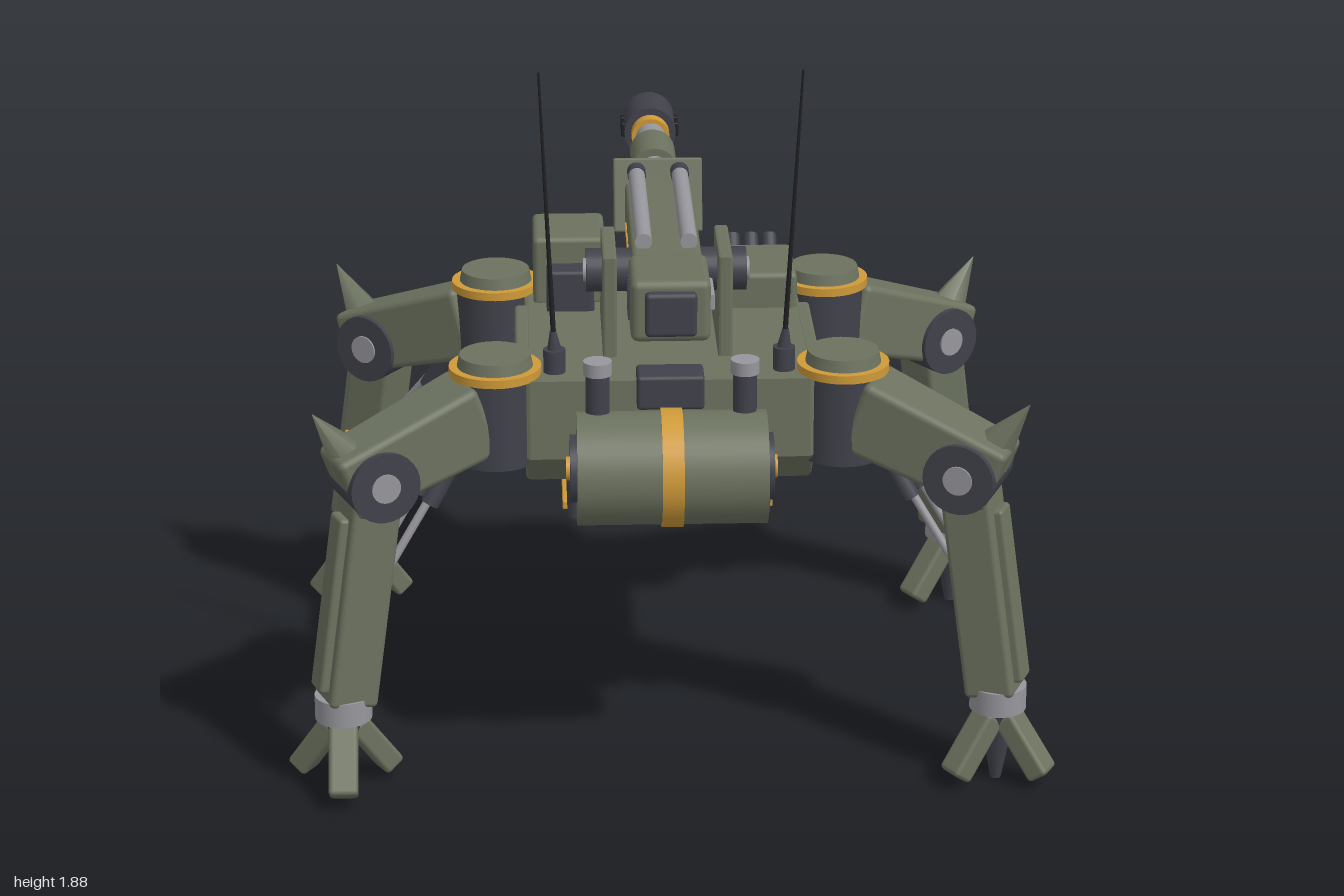
import * as THREE from 'three';
import { RoundedBoxGeometry } from 'three/addons/geometries/RoundedBoxGeometry.js';

const paint = (name, color) => {
  const m = new THREE.MeshStandardMaterial({ color });
  m.name = name;
  return m;
};
const V = (x, y, z) => new THREE.Vector3(x, y, z);

export function createModel() {
  const green = paint('olive green', 0x6c725f);
  const dark = paint('dark metal', 0x41414b);
  const steel = paint('light steel', 0x96969c);
  const orange = paint('orange', 0xcf9a38);
  const black = paint('black', 0x222226);
  const model = new THREE.Group();
  model.name = 'walker';

  const add = (parent, name, geo, mat, x = 0, y = 0, z = 0) => {
    const m = new THREE.Mesh(geo, mat);
    m.name = name;
    m.position.set(x, y, z);
    parent.add(m);
    return m;
  };
  const group = (name) => {
    const g = new THREE.Group();
    g.name = name;
    model.add(g);
    return g;
  };
  // box given by its limits
  const box = (p, name, mat, [x0, x1], [y0, y1], [z0, z1], r = 0.01) => {
    const w = x1 - x0, h = y1 - y0, d = z1 - z0;
    const geo = r ? new RoundedBoxGeometry(w, h, d, 2, Math.min(r, w * 0.45, h * 0.45, d * 0.45)) : new THREE.BoxGeometry(w, h, d);
    return add(p, name, geo, mat, (x0 + x1) / 2, (y0 + y1) / 2, (z0 + z1) / 2);
  };
  // cylinder between two points
  const rod = (p, name, mat, a, b, r0, r1 = r0, sides = 24) => {
    const dir = b.clone().sub(a);
    const m = add(p, name, new THREE.CylinderGeometry(r1, r0, dir.length(), sides), mat);
    m.position.copy(a).add(b).multiplyScalar(0.5);
    m.quaternion.setFromUnitVectors(V(0, 1, 0), dir.normalize());
    return m;
  };
  // rounded beam between two points; side is the horizontal width axis, taper scales the far end
  const beam = (p, name, mat, a, b, thick, width, side, taper = 1, r = 0.014) => {
    const y = b.clone().sub(a), len = y.length();
    y.normalize();
    const geo = new RoundedBoxGeometry(thick, len, width, 2, r), pos = geo.attributes.position;
    for (let i = 0; i < pos.count; i++) {
      const s = 1 + (taper - 1) * (pos.getY(i) / len + 0.5);
      pos.setX(i, pos.getX(i) * s);
      pos.setZ(i, pos.getZ(i) * s);
    }
    const m = add(p, name, geo, mat);
    m.position.copy(a).add(b).multiplyScalar(0.5);
    const x = y.clone().cross(side).normalize();
    m.quaternion.setFromRotationMatrix(new THREE.Matrix4().makeBasis(x, y, x.clone().cross(y)));
    return m;
  };
  // side profile of [z, y] points, extruded across x
  const profile = (p, name, mat, pts, x0, x1, bevel = 0.012) => {
    const s = new THREE.Shape(pts.map(([z, y]) => new THREE.Vector2(-z, y)));
    const geo = new THREE.ExtrudeGeometry(s, { depth: x1 - x0 - 2 * bevel, bevelSize: bevel, bevelThickness: bevel, bevelOffset: -bevel, bevelSegments: 2 });
    geo.rotateY(Math.PI / 2);
    return add(p, name, geo, mat, x0 + bevel, 0, 0);
  };

  // Hull
  const hull = group('hull');
  profile(hull, 'hullBody', green, [[0.69, 1.07], [-0.16, 1.07], [-0.2, 0.9], [-0.12, 0.77], [0.6, 0.77], [0.69, 0.86]], -0.365, 0.365);
  profile(hull, 'nosePlate', green, [[-0.08, 1.085], [-0.17, 1.085], [-0.32, 1.02], [-0.27, 0.935], [-0.08, 0.935]], -0.325, 0.325);
  profile(hull, 'bumper', dark, [[-0.1, 0.94], [-0.27, 0.94], [-0.305, 0.9], [-0.27, 0.82], [-0.1, 0.8]], -0.29, 0.29);
  const slit = box(hull, 'noseSlit', dark, [-0.1, 0.1], [1.044, 1.054], [-0.262, -0.25], 0);
  slit.rotation.x = -0.41;
  box(hull, 'belly', dark, [-0.26, 0.26], [0.65, 0.78], [-0.06, 0.626], 0.025);
  box(hull, 'deckGrille', dark, [-0.085, 0.085], [1.0, 1.09], [0.62, 0.72]);
  for (const s of [-1, 1]) {
    const span = (a, b) => (s > 0 ? [a, b] : [-b, -a]);
    box(hull, 'headlight', steel, span(0.15, 0.2), [0.885, 0.925], [-0.335, -0.28]);
    box(hull, 'bellyStripe', orange, span(0.25, 0.272), [0.652, 0.676], [0.05, 0.52], 0.004);
    box(hull, 'sidePanel', green, span(0.35, 0.39), [0.845, 1.07], [0.11, 0.48]);
    for (let i = 0; i < 4; i++) {
      const z = 0.165 + i * 0.087;
      box(hull, 'sideVent', dark, span(0.386, 0.394), [0.88, 1.02], [z - 0.02, z + 0.02], 0);
    }
    rod(hull, 'exhaustPipe', dark, V(s * 0.184, 0.95, 0.745), V(s * 0.184, 1.12, 0.745), 0.03);
    rod(hull, 'exhaustCap', steel, V(s * 0.184, 1.11, 0.745), V(s * 0.184, 1.145, 0.745), 0.036);
    rod(hull, 'antennaBase', dark, V(s * 0.29, 1.06, 0.615), V(s * 0.29, 1.13, 0.615), 0.028);
    rod(hull, 'antennaSpring', dark, V(s * 0.29, 1.13, 0.615), V(s * 0.293, 1.18, 0.62), 0.018, 0.008, 12);
    rod(hull, 'antenna', black, V(s * 0.29, 1.13, 0.615), V(s * 0.323, 1.88, 0.705), 0.007, 0.003, 8);
  }

  // Fuel drum
  const drum = group('fuelDrum');
  const across = (name, mat, x0, x1, r) => rod(drum, name, mat, V(x0, 0.868, 0.772), V(x1, 0.868, 0.772), r, r, 40);
  across('drumBody', green, -0.238, 0.238, 0.143);
  across('drumBand', orange, -0.027, 0.027, 0.15);
  across('drumCaps', dark, -0.255, 0.255, 0.085);
  across('drumPlugs', orange, -0.265, 0.265, 0.03);

  // Deck equipment
  const deck = group('deckEquipment');
  box(deck, 'stowageBox', green, [0.165, 0.355], [1.05, 1.165], [-0.09, 0.16], 0.015);
  for (let i = 0; i < 3; i++) {
    const x = 0.2 + i * 0.05;
    rod(deck, 'smokeLauncher', dark, V(x, 1.09, -0.08), V(x, 1.165, -0.16), 0.02, 0.02, 16);
  }
  box(deck, 'sightBox', green, [-0.34, -0.15], [1.06, 1.25], [-0.12, 0.1], 0.015);
  box(deck, 'sightBattery', dark, [-0.305, -0.18], [1.06, 1.18], [0.09, 0.17]);
  rod(deck, 'sightRim', dark, V(-0.25, 1.165, -0.11), V(-0.25, 1.165, -0.132), 0.058);
  rod(deck, 'sightLens', orange, V(-0.25, 1.165, -0.11), V(-0.25, 1.165, -0.138), 0.043);

  // Gun mount
  const gun = group('gun');
  const AY = 1.262;
  for (const s of [-1, 1]) {
    profile(gun, 'yoke', green, [[0.52, 1.06], [0.52, 1.335], [0.26, 1.335], [0.26, 1.21], [0.15, 1.06]], s * 0.147 - 0.018, s * 0.147 + 0.018, 0.006);
    rod(gun, 'trunnion', dark, V(s * 0.08, AY, 0.39), V(s * 0.205, AY, 0.39), 0.056);
    rod(gun, 'trunnionCap', steel, V(s * 0.2, AY, 0.39), V(s * 0.213, AY, 0.39), 0.03);
    for (const z of [0.21, 0.12, 0.03])
      box(gun, 'housingMark', orange, s > 0 ? [0.088, 0.094] : [-0.094, -0.088], [1.238, 1.258], [z - 0.032, z + 0.032], 0);
    rod(gun, 'recoilRod', steel, V(s * 0.058, 1.342, 0.41), V(s * 0.058, 1.342, -0.15), 0.022);
    rod(gun, 'recoilRodEnd', dark, V(s * 0.058, 1.342, -0.145), V(s * 0.058, 1.342, -0.185), 0.025);
  }
  box(gun, 'housing', green, [-0.09, 0.09], [1.18, 1.325], [-0.15, 0.53], 0.015);
  box(gun, 'breech', green, [-0.1, 0.1], [1.178, 1.34], [0.49, 0.715], 0.02);
  box(gun, 'breechEnd', dark, [-0.065, 0.065], [1.2, 1.315], [0.7, 0.738], 0.012);
  box(gun, 'breechWindow', steel, [0.097, 0.112], [1.245, 1.29], [0.54, 0.665], 0.004);
  for (let i = 0; i < 5; i++)
    box(gun, 'breechSlit', dark, [-0.105, -0.098], [1.22, 1.3], [0.545 + i * 0.025, 0.557 + i * 0.025], 0);
  const shield = box(gun, 'gunShield', green, [-0.12, 0.12], [1.172, 1.372], [-0.202, -0.182], 0.006);
  shield.rotation.x = -0.3;

  // Barrel, as [name, material, start z, end z, radius]
  for (const [name, mat, z0, z1, r] of [
    ['barrel', steel, -0.12, -0.8, 0.042],
    ['barrelRing', dark, -0.335, -0.365, 0.06],
    ['barrelSleeve', green, -0.44, -0.62, 0.063],
    ['barrelCollar', orange, -0.748, -0.792, 0.054],
    ['muzzleBrake', dark, -0.79, -0.955, 0.073],
    ['muzzleBore', black, -0.95, -0.959, 0.045],
  ]) rod(gun, name, mat, V(0, AY, z0), V(0, AY, z1), r, r, 32);
  for (const z of [-0.835, -0.895])
    box(gun, 'muzzleSlots', black, [-0.082, 0.082], [AY - 0.02, AY + 0.02], [z - 0.014, z + 0.014], 0.004);

  // Legs
  const buildLeg = (s, hipZ, kneeZ, ankleZ, name) => {
    const leg = group(name);
    const hip = V(s * 0.44, 1, hipZ), knee = V(s * 0.75, 0.845, kneeZ), ankle = V(s * 0.838, 0.2, ankleZ);
    const d = V(knee.x - hip.x, 0, knee.z - hip.z).normalize();
    const q = V(-d.z, 0, d.x);
    if (q.z * (hipZ - 0.29) > 0) q.negate(); // q faces the middle of the body
    const at = (base, along, up, side = 0) => base.clone().addScaledVector(d, along).addScaledVector(q, side).add(V(0, up, 0));

    rod(leg, 'hip', dark, at(hip, 0, -0.16), at(hip, 0, 0.07), 0.105, 0.105, 32);
    rod(leg, 'hipRing', orange, at(hip, 0, 0.068), at(hip, 0, 0.09), 0.117, 0.117, 32);
    rod(leg, 'hipCap', green, at(hip, 0, 0.07), at(hip, 0, 0.12), 0.1, 0.09, 32);
    beam(leg, 'upperLeg', green, at(hip, 0.05, -0.025), at(knee, 0.09, -0.01), 0.2, 0.18, q, 0.85, 0.02);
    rod(leg, 'knee', dark, at(knee, 0, 0, -0.095), at(knee, 0, 0, 0.095), 0.092, 0.092, 28);
    rod(leg, 'kneeCap', steel, at(knee, 0, 0, -0.1), at(knee, 0, 0, 0.1), 0.038);
    rod(leg, 'kneeSpike', green, at(knee, 0.05, 0.04), at(knee, 0.155, 0.19), 0.062, 0.001, 6);

    // shin with its outer plate
    const down = ankle.clone().sub(knee).normalize();
    const out = d.clone().addScaledVector(down, -d.dot(down)).normalize();
    const shin = (t, o = 0, side = 0) => knee.clone().lerp(ankle, t).addScaledVector(out, o).addScaledVector(q, side);
    beam(leg, 'shin', green, shin(0.05), shin(0.93), 0.13, 0.13, q);
    beam(leg, 'shinPlate', green, shin(0.16, 0.07), shin(0.88, 0.07), 0.035, 0.075, q, 1, 0.01);
    beam(leg, 'shinMark', orange, shin(0.43, 0.02, 0.065), shin(0.53, 0.02, 0.065), 0.05, 0.02, q, 1, 0.003);

    // piston under the knee
    for (const side of [-0.04, 0.04]) {
      rod(leg, 'pistonSleeve', dark, at(hip, 0.13, -0.13, side), at(hip, 0.2, -0.24, side), 0.024, 0.024, 14);
      rod(leg, 'pistonRod', steel, at(hip, 0.17, -0.18, side), shin(0.38, -0.05, side), 0.011, 0.011, 10);
    }

    // foot with three toes
    rod(leg, 'ankle', steel, ankle, at(ankle, 0, 0.065), 0.073, 0.073, 28);
    rod(leg, 'footCore', dark, at(ankle, 0, 0), V(ankle.x, 0, ankle.z), 0.05, 0.014, 14);
    for (let i = 0; i < 3; i++) {
      const a = (s > 0 ? Math.PI / 6 : Math.PI / 2) + (i * Math.PI * 2) / 3;
      const c = Math.cos(a), n = Math.sin(a);
      beam(leg, 'toe', green, V(ankle.x + 0.025 * c, 0.185, ankle.z + 0.025 * n),
        V(ankle.x + 0.132 * c, 0.036, ankle.z + 0.132 * n), 0.06, 0.075, V(-n, 0, c), 1, 0.012);
    }
  };
  for (const s of [-1, 1]) {
    const side = s > 0 ? 'left' : 'right';
    buildLeg(s, 0.615, 0.745, 0.785, side + 'FrontLeg');
    buildLeg(s, -0.04, -0.25, -0.345, side + 'BackLeg');
  }
  return model;
}
